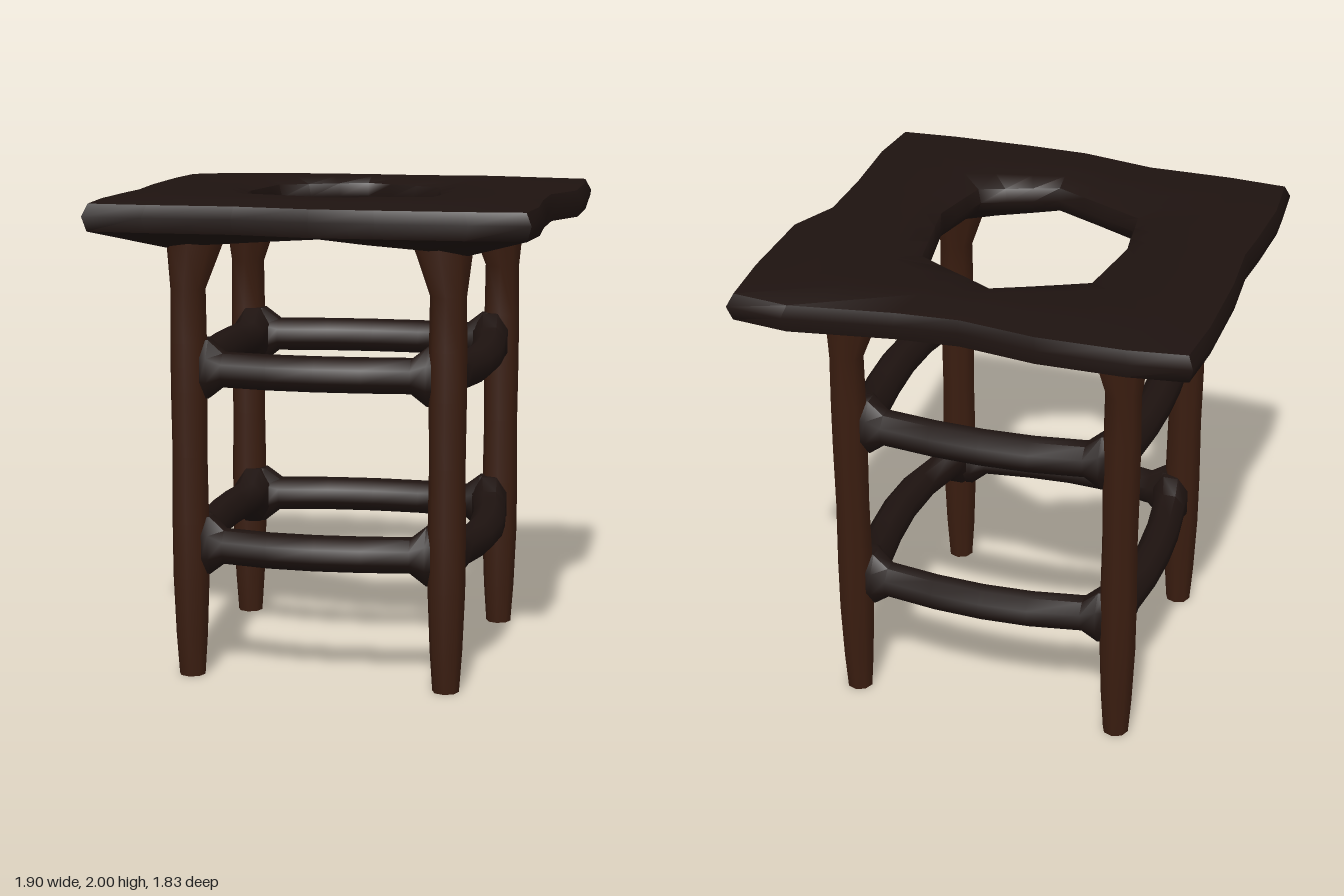
import * as THREE from 'three';
import { toCreasedNormals } from 'three/addons/utils/BufferGeometryUtils.js';

const V = (x, y, z) => new THREE.Vector3(x, y, z);
const legMaterial = new THREE.MeshStandardMaterial({ color: 0x3a1d10 });
const darkMaterial = new THREE.MeshStandardMaterial({ color: 0x1e1310 });

// Skin a row of equal-length closed rings; either join the ends or cap them.
function loft(rings, joined) {
  const n = rings[0].length;
  const tris = [];
  const spans = joined ? rings.length : rings.length - 1;
  for (let i = 0; i < spans; i++) {
    const p = rings[i], q = rings[(i + 1) % rings.length];
    for (let j = 0; j < n; j++) {
      const k = (j + 1) % n;
      tris.push(p[j], q[j], q[k], p[j], q[k], p[k]);
    }
  }
  if (!joined) {
    const first = rings[0], last = rings[rings.length - 1];
    for (let j = 1; j < n - 1; j++) {
      tris.push(first[0], first[j], first[j + 1], last[0], last[j + 1], last[j]);
    }
  }
  const geometry = new THREE.BufferGeometry().setFromPoints(tris);
  return toCreasedNormals(geometry, 1.0);
}

function addMesh(parent, name, geometry, material) {
  const mesh = new THREE.Mesh(geometry, material);
  mesh.name = name;
  parent.add(mesh);
}

// Wavy outer outline, six stations per side, starting at the back right corner (-x, -z)
const OUTLINE = [
  [-.92, -.85], [-.68, -.88], [-.32, -.88], [0, -.83], [.26, -.85], [.69, -.92],
  [.93, -.89], [.95, -.62], [.95, -.21], [.86, 0], [.86, .3], [.88, .64],
  [.86, .89], [.62, .905], [.26, .905], [0, .895], [-.32, .83], [-.68, .83],
  [-.93, .81], [-.95, .55], [-.935, .25], [-.92, .08], [-.94, -.2], [-.94, -.6],
];
// Eight-cornered hole, one corner for every three outline stations
const HOLE = [
  [-.37, -.33], [-.02, -.505], [.31, -.30], [.38, .1],
  [.31, .36], [0, .48], [-.38, .28], [-.42, 0],
];

function seatGeometry() {
  const rings = OUTLINE.map(([ox, oz], i) => {
    const a = HOLE[Math.floor(i / 3)], b = HOLE[(Math.floor(i / 3) + 1) % 8];
    const f = (i % 3) / 3;
    const hx = a[0] + (b[0] - a[0]) * f, hz = a[1] + (b[1] - a[1]) * f;
    // the underside sinks towards the corners, where the legs meet it
    const corner = Math.abs((i % 6) - 3) / 3;
    const low = 1.845 - 0.06 * corner;
    const section = [
      [0, 1.92], [.03, 1.975], [.2, 2], [.6, 2], [.96, 1.98], [1, 1.93],
      [.97, 1.87], [.5, low], [.2, low], [.04, 1.87],
    ];
    return section.map(([t, y]) => V(hx + (ox - hx) * t, y, hz + (oz - hz) * t));
  });
  return loft(rings, true);
}

// Leg centres
const LEGS = {
  frontLeft: [.5, .575], frontRight: [-.577, .515],
  backLeft: [.573, -.56], backRight: [-.577, -.545],
};
// Height, radius, shift towards the middle
const LEG_PROFILE = [
  [0, .055, 0], [.17, .067, 0], [.42, .077, 0], [.65, .078, 0], [.93, .074, 0],
  [1.2, .077, 0], [1.4, .077, 0], [1.62, .074, 0], [1.81, .12, .025], [1.88, .12, .025],
];

function legGeometry([cx, cz]) {
  const rings = LEG_PROFILE.map(([y, r, shift]) => {
    const x = cx - Math.sign(cx) * shift, z = cz - Math.sign(cz) * shift;
    return Array.from({ length: 8 }, (_, j) => {
      const a = j * Math.PI / 4;
      return V(x + r * Math.cos(a), y, z + r * Math.sin(a));
    });
  });
  return loft(rings, false);
}

// Rail bowed outwards between two legs, with splayed ends
function railGeometry(from, to, y, bow) {
  const start = V(from[0], y, from[1]), end = V(to[0], y, to[1]);
  const length = start.distanceTo(end);
  const alongX = Math.abs(to[0] - from[0]) > Math.abs(to[1] - from[1]);
  const axis = alongX ? 'x' : 'z', across = alongX ? 'z' : 'x';
  const dir = V(0, 0, 0);
  dir[axis] = Math.sign(end[axis] - start[axis]);
  const side = dir.clone().cross(V(0, 1, 0));
  const out = Math.sign(start[across]);
  // distance along, half height, half width
  const stations = [
    [.055, .13, .085], [.085, .13, .085], [.15, .075, .075], [length * .32, .075, .075],
    [length * .5, .075, .075], [length * .68, .075, .075], [length - .15, .075, .075],
    [length - .085, .13, .085], [length - .055, .13, .085],
  ];
  const rings = stations.map(([s, high, wide]) => {
    const t = s / length;
    const centre = start.clone().lerp(end, t);
    const arch = 4 * t * (1 - t);
    const ends = centre[across] - out * .05;
    centre[across] = ends + (out * bow - ends) * arch;
    return Array.from({ length: 8 }, (_, j) => {
      const a = (j + .5) * Math.PI / 4, k = 1 / Math.cos(Math.PI / 8);
      return centre.clone().addScaledVector(side, wide * Math.cos(a))
        .add(V(0, high * k * Math.sin(a) * Math.cos(Math.PI / 8), 0));
    });
  });
  return loft(rings, false);
}

export function createModel() {
  const model = new THREE.Group();
  model.name = 'stool';
  addMesh(model, 'seat', seatGeometry(), darkMaterial);

  for (const [name, centre] of Object.entries(LEGS)) {
    addMesh(model, name + 'Leg', legGeometry(centre), legMaterial);
  }

  // Two tiers of four rails
  const sides = [
    ['front', 'frontRight', 'frontLeft'], ['left', 'frontLeft', 'backLeft'],
    ['back', 'backLeft', 'backRight'], ['right', 'backRight', 'frontRight'],
  ];
  for (const [tier, y, bow] of [['Lower', .555, .585], ['Upper', 1.29, .57]]) {
    for (const [side, a, b] of sides) {
      addMesh(model, side + tier + 'Rail', railGeometry(LEGS[a], LEGS[b], y, bow), darkMaterial);
    }
  }
  return model;
}
